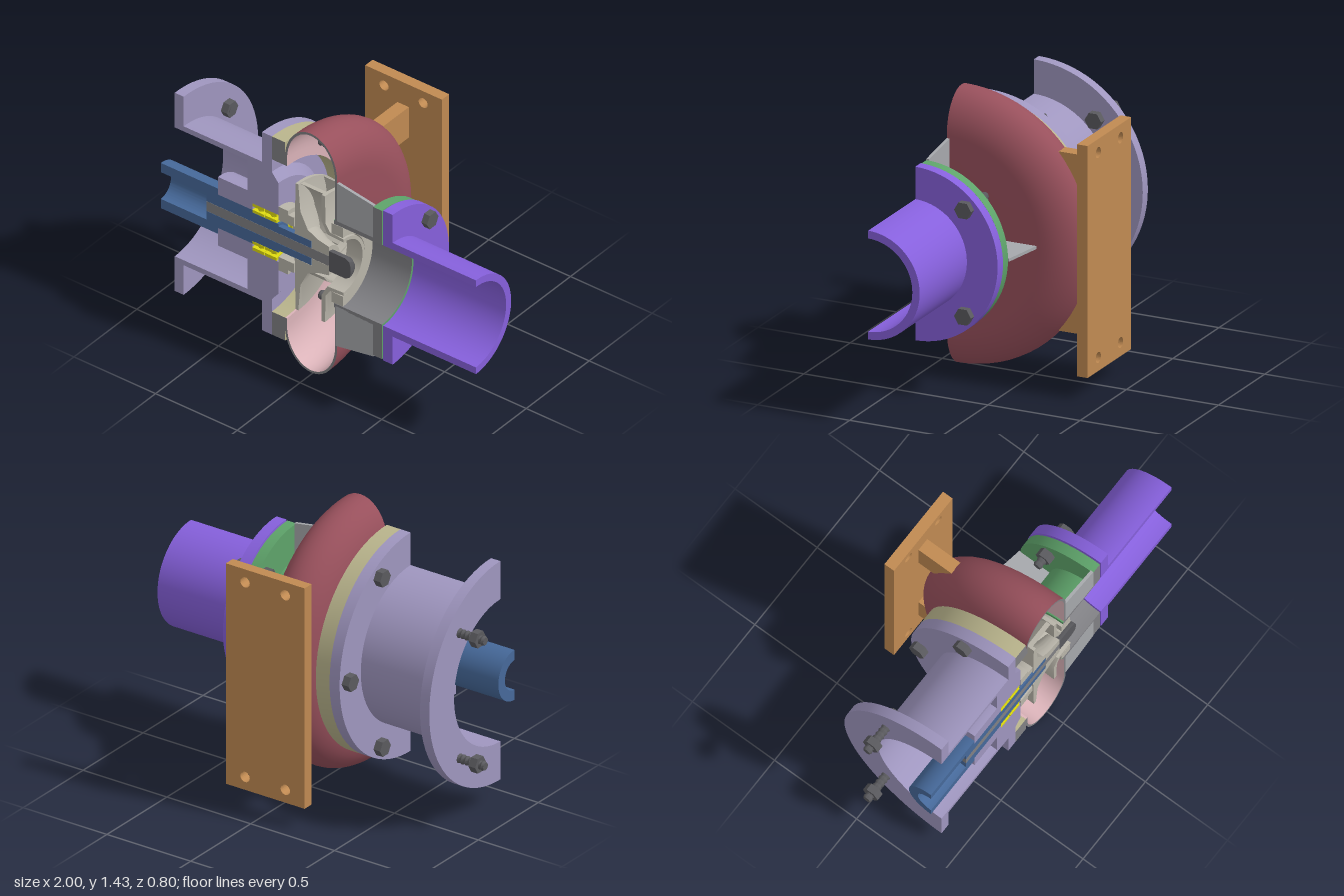
import * as THREE from 'three';
import { toCreasedNormals } from 'three/addons/utils/BufferGeometryUtils.js';

const AXIS_Y = 0.72, CUT_Z = 0.4;
const LAVENDER = 0x9f96bf, OLIVE = 0xb9b48c, MAROON = 0x98505c, PINK = 0xdcb4ba, ORANGE = 0xc08a52,
  GREEN = 0x5ea36a, PURPLE = 0x8660dc, BLUE = 0x46699a, BEIGE = 0xb9b5aa, YELLOW = 0xe0dc10,
  GREY = 0x808084, STEEL = 0x5a5a5e, RIB = 0xa6a8ac;

const mat = (color) => new THREE.MeshStandardMaterial({ color, side: THREE.DoubleSide });

function add(parent, name, geo, color) {
  const mesh = new THREE.Mesh(geo, mat(color));
  mesh.name = name;
  parent.add(mesh);
  return mesh;
}

// Surface swept about the x axis from [x, radius] points
function sweep(pts, start, length, segments) {
  const geo = new THREE.LatheGeometry(pts.map(([x, r]) => new THREE.Vector2(r, x)), segments, start, length);
  geo.rotateZ(-Math.PI / 2);
  return toCreasedNormals(geo, 0.6);
}

// Half-revolved part: outer path runs to +x, inner path runs back, both closed by flat section faces
function half(parent, name, color, outer, inner = [], innerColor = color, capColor = color) {
  const part = new THREE.Group();
  part.name = name;
  add(part, name + 'Outside', sweep(outer, Math.PI / 2, Math.PI, 40), color);
  const back = [outer[outer.length - 1], ...inner, outer[0]];
  add(part, name + 'Inside', sweep(back, Math.PI / 2, Math.PI, 40), innerColor);
  for (const s of [1, -1]) {
    const shape = new THREE.Shape([...outer, ...inner].map(([x, r]) => new THREE.Vector2(x, s * r)));
    add(part, name + 'Section', new THREE.ShapeGeometry(shape), capColor);
  }
  parent.add(part);
}

// Plain half ring
const ring = (parent, name, color, x0, x1, r0, r1, cap = color) =>
  half(parent, name, color, [[x0, r0], [x0, r1], [x1, r1], [x1, r0]], [], color, cap);

// Fastener parallel to the axis: threaded shank plus hexagons given as [x0, x1, radius]
function fastener(parent, name, angle, radius, x0, x1, hexes) {
  const g = new THREE.Group();
  g.name = name;
  const pts = [[x0, 0]];
  const n = Math.round((x1 - x0) / 0.012);
  for (let i = 0; i <= n; i++) pts.push([x0 + (x1 - x0) * i / n, i % 2 ? 0.025 : 0.02]);
  pts.push([x1, 0]);
  add(g, 'thread', sweep(pts, 0, Math.PI * 2, 14), STEEL);
  for (const [a, b, r] of hexes) {
    const geo = new THREE.CylinderGeometry(r, r, b - a, 6).toNonIndexed();
    geo.computeVertexNormals();
    geo.rotateZ(-Math.PI / 2);
    add(g, 'hexagon', geo, STEEL).position.x = (a + b) / 2;
  }
  g.position.set(0, radius * Math.sin(angle), -radius * Math.cos(angle));
  parent.add(g);
}

export function createModel() {
  const model = new THREE.Group();
  model.name = 'sectionedPump';
  const body = new THREE.Group();
  body.name = 'revolvedParts';
  body.position.set(0, AXIS_Y, CUT_Z);
  model.add(body);

  // Bearing housing with its two flanges
  half(body, 'bearingHousing', LAVENDER,
    [[-0.845, 0.385], [-0.845, 0.592], [-0.79, 0.592], [-0.79, 0.415], [-0.31, 0.415], [-0.31, 0.592], [-0.25, 0.592]],
    [[-0.25, 0.38], [-0.21, 0.33], [-0.21, 0.14], [-0.37, 0.14], [-0.37, 0.1], [-0.58, 0.1], [-0.58, 0.205],
      [-0.4, 0.205], [-0.4, 0.385]]);

  // Cover ring behind the casing
  ring(body, 'coverRing', OLIVE, -0.25, -0.168, 0.455, 0.592, GREY);

  // Rounded pump casing
  const arc = (w, h) => Array.from({ length: 21 }, (_, i) => {
    const a = Math.PI * (1 - i / 20);
    return [-0.01 + w * Math.cos(a), 0.5 + h * Math.sin(a)];
  });
  half(body, 'casing', MAROON, [[-0.17, 0.455], ...arc(0.16, 0.213), [0.15, 0.25]],
    [[0.137, 0.25], ...arc(0.147, 0.2).reverse(), [-0.157, 0.455]], PINK, GREY);

  // Suction neck with its flange
  half(body, 'suctionNeck', GREEN,
    [[0.13, 0.237], [0.13, 0.26], [0.37, 0.26], [0.37, 0.443], [0.425, 0.443], [0.425, 0.237]], [], GREY, GREY);

  // Inlet pipe with its flange
  half(body, 'inletPipe', PURPLE,
    [[0.432, 0.24], [0.432, 0.447], [0.49, 0.447], [0.49, 0.28], [1, 0.28], [1, 0.24]]);

  // Stiffening ribs on the neck
  const ribShape = new THREE.Shape([[0.14, 0.25], [0.14, 0.488], [0.372, 0.45], [0.372, 0.25]]
    .map((p) => new THREE.Vector2(...p)));
  [[1, -1], [0, -0.5], [-1, 0]].forEach(([turn, offset]) => {
    const geo = new THREE.ExtrudeGeometry(ribShape, { depth: 0.016, bevelEnabled: false });
    geo.translate(0, 0, offset * 0.016);
    geo.rotateX((turn - 1) * Math.PI / 2);
    add(body, 'neckRib', geo, RIB);
  });

  // Hollow drive sleeve, shaft and end nut
  half(body, 'driveSleeve', BLUE,
    [[-0.93, 0.08], [-0.93, 0.135], [-0.58, 0.135], [-0.58, 0.1], [-0.37, 0.1], [-0.37, 0.085], [-0.21, 0.085],
      [-0.21, 0.072], [-0.01, 0.072], [-0.01, 0.03]], [[-0.65, 0.03], [-0.65, 0.08]]);
  half(body, 'shaft', GREY, [[-0.65, 0], [-0.65, 0.029], [0.1, 0.029], [0.1, 0]]);
  half(body, 'shaftNut', STEEL, [[0.1, 0], [0.1, 0.06], [0.2, 0.06], [0.225, 0.045], [0.232, 0.02], [0.232, 0]]);

  // Pair of ball bearings
  for (const x of [-0.37, -0.293]) {
    ring(body, 'bearingOuterRace', YELLOW, x, x + 0.072, 0.122, 0.14);
    ring(body, 'bearingInnerRace', YELLOW, x, x + 0.072, 0.086, 0.102);
    for (let i = 0; i < 7; i++) {
      const a = -Math.PI / 2 + Math.PI * (i + 0.5) / 7;
      add(body, 'bearingBall', new THREE.SphereGeometry(0.016, 10, 8), YELLOW)
        .position.set(x + 0.036, 0.112 * Math.sin(a), -0.112 * Math.cos(a));
    }
  }

  // Shaft seal gland
  half(body, 'sealGland', BEIGE,
    [[-0.208, 0.11], [-0.208, 0.19], [-0.15, 0.19], [-0.15, 0.165], [-0.115, 0.165], [-0.115, 0.11]]);

  // Impeller: back disc with hub, front shroud with eye, wear ring
  half(body, 'impellerBack', BEIGE,
    [[-0.11, 0.073], [-0.105, 0.376], [-0.088, 0.376], [-0.075, 0.22], [-0.03, 0.13], [0.03, 0.1], [0.1, 0.085], [0.1, 0.03]],
    [[-0.008, 0.03], [-0.008, 0.073]]);
  half(body, 'impellerShroud', BEIGE,
    [[0.055, 0.376], [0.075, 0.376], [0.08, 0.215], [0.105, 0.175], [0.19, 0.168], [0.19, 0.15]],
    [[0.09, 0.155], [0.055, 0.22]]);
  ring(body, 'wearRing', BEIGE, 0.115, 0.185, 0.175, 0.235);

  // Curved impeller vanes
  for (const start of [-85, -55, -25, 5, 35]) {
    const side = (offset) => Array.from({ length: 9 }, (_, i) => {
      const a = THREE.MathUtils.degToRad(start + 48 * i / 8 + offset);
      const r = 0.12 + 0.25 * i / 8;
      return new THREE.Vector2(r * Math.cos(a), r * Math.sin(a));
    });
    const shape = new THREE.Shape([...side(0), ...side(4).reverse()]);
    const geo = new THREE.ExtrudeGeometry(shape, { depth: 0.155, bevelEnabled: false });
    geo.rotateY(Math.PI / 2);
    geo.translate(-0.093, 0, 0);
    add(body, 'impellerVane', toCreasedNormals(geo, 0.6), BEIGE);
  }

  // Fasteners on the three flanges
  for (const s of [1, -1]) {
    fastener(body, 'mountingStud', s * Math.PI / 4, 0.48, -1, -0.75,
      [[-0.97, -0.93, 0.045], [-0.79, -0.752, 0.045]]);
    fastener(body, 'inletBolt', s * Math.PI / 4, 0.387, 0.28, 0.49,
      [[0.325, 0.37, 0.042], [0.49, 0.525, 0.046]]);
  }
  for (const k of [-1, 0, 1])
    fastener(body, 'housingBolt', k * Math.PI / 3, 0.53, -0.33, -0.11, [[-0.35, -0.31, 0.045]]);

  // Base plate with corner holes
  const plate = new THREE.Shape([[-0.25, 0.12], [0.22, 0.12], [0.22, 1.315], [-0.25, 1.315]]
    .map((p) => new THREE.Vector2(...p)));
  for (const x of [-0.135, 0.105])
    for (const y of [0.19, 1.245]) plate.holes.push(new THREE.Path().absarc(x, y, 0.028, 0, Math.PI * 2, true));
  const plateGeo = new THREE.ExtrudeGeometry(plate, { depth: 0.058, bevelEnabled: false });
  add(model, 'basePlate', plateGeo, ORANGE).position.z = -0.4;

  // Feet between plate and casing
  for (const s of [1, -1]) {
    const foot = new THREE.Shape([[0.345, 0.28], [0.345, 0.462], [0.14, 0.462], [0.25, 0.28]]
      .map(([u, v]) => new THREE.Vector2(u, s * v)));
    const geo = new THREE.ExtrudeGeometry(foot, { depth: 0.07, bevelEnabled: false });
    geo.rotateY(Math.PI / 2);
    add(model, 'casingFoot', geo, ORANGE).position.set(-0.053, AXIS_Y, 0);
  }
  return model;
}
